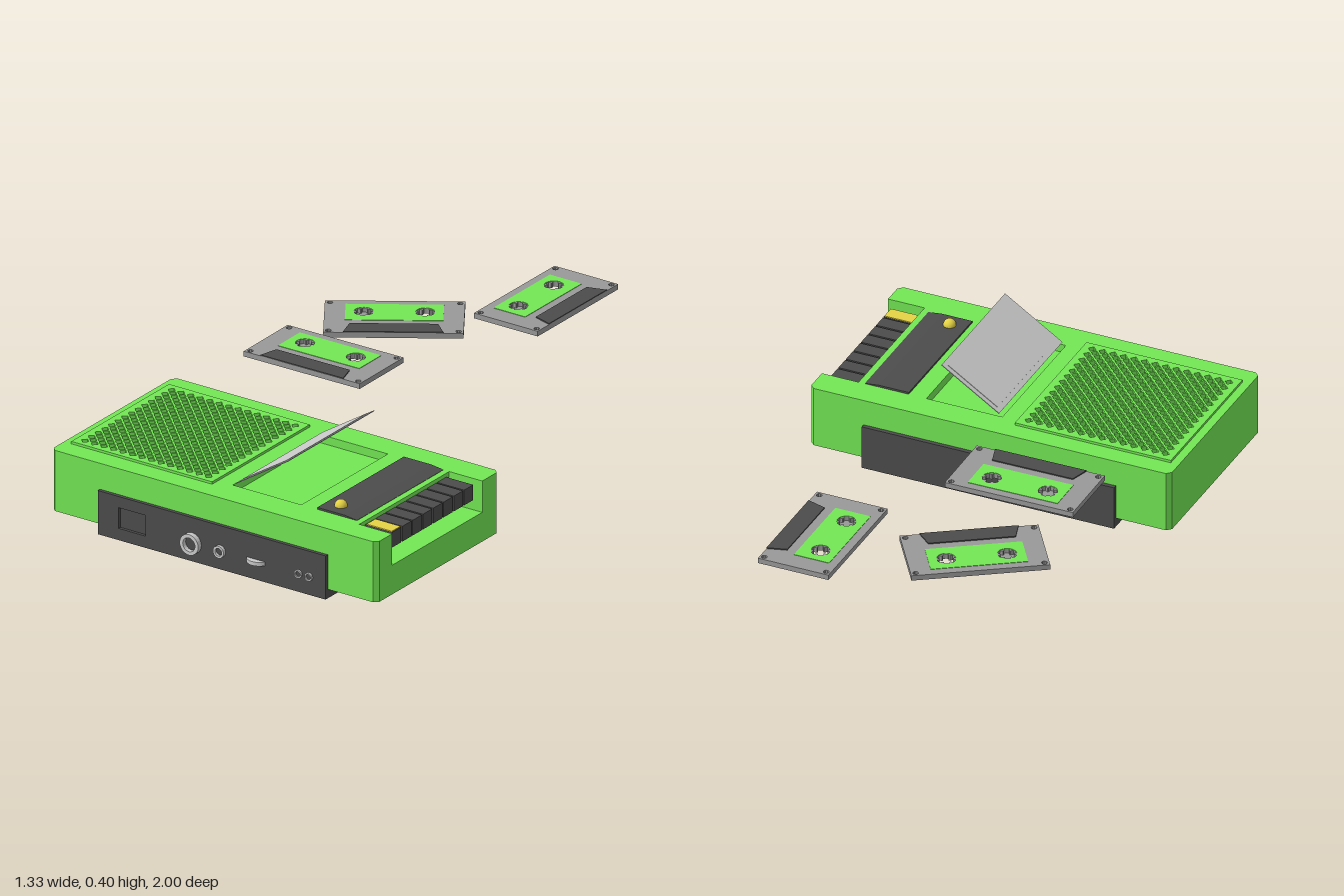
import * as THREE from 'three';

const mat = (color) => new THREE.MeshStandardMaterial({ color, flatShading: true });
const GREEN = mat(0x73e754), DARK = mat(0x4c4c4c), GREY = mat(0x999999), YELLOW = mat(0xe4d244);
const LIGHT = mat(0xc8c8c8);
LIGHT.side = THREE.DoubleSide;

function add(parent, name, geometry, material, x = 0, y = 0, z = 0) {
  const mesh = new THREE.Mesh(geometry, material);
  mesh.name = name;
  mesh.position.set(x, y, z);
  parent.add(mesh);
  return mesh;
}

// box given by its two corners
function block(parent, name, material, x0, x1, y0, y1, z0, z1) {
  return add(parent, name, new THREE.BoxGeometry(x1 - x0, y1 - y0, z1 - z0), material,
    (x0 + x1) / 2, (y0 + y1) / 2, (z0 + z1) / 2);
}

// outlines lie in the ground plane as [x, z] pairs
const points = (list) => list.map(([x, z]) => new THREE.Vector2(x, -z));
const rect = (x0, x1, z0, z1) => [[x0, z0], [x1, z0], [x1, z1], [x0, z1]];
function ring(cx, cz, radius, sides, toothed = false) {
  return Array.from({ length: sides }, (_, i) => {
    const a = (i / sides) * Math.PI * 2;
    const r = toothed && i % 6 < 2 ? radius * 0.7 : radius;
    return [cx + Math.cos(a) * r, cz + Math.sin(a) * r];
  });
}

// flat slab from height y0 to y1; holes wind against the outline
function slab(parent, name, material, outline, holes, y0, y1) {
  const shape = new THREE.Shape(points(outline));
  holes.forEach((h) => shape.holes.push(new THREE.Path(points(h).reverse())));
  const geometry = new THREE.ExtrudeGeometry(shape, { depth: y1 - y0, bevelEnabled: false });
  geometry.rotateX(-Math.PI / 2);
  return add(parent, name, geometry, material, 0, y0, 0);
}

function buildBody(parent) {
  const X = 0.665, Z0 = 0.25, Z1 = 0.965, c = 0.016;
  const corners = [[X - c, Z1], [-X + c, Z1], [-X, Z1 - c], [-X, Z0 + c], [-X + c, Z0], [X - c, Z0], [X, Z0 + c]];
  const full = [...corners, [X, Z1 - c]];
  const notched = [...corners, [X, 0.35], [0.53, 0.35], [0.53, 0.875], [X, 0.875], [X, Z1 - c]];
  const well = rect(0, 0.28, 0.35, 0.855);
  const speaker = rect(-0.62, -0.075, 0.335, 0.875);
  slab(parent, 'bodyBase', GREEN, full, [], 0.033, 0.14);
  slab(parent, 'bodyMiddle', GREEN, notched, [], 0.14, 0.225);
  slab(parent, 'bodyTop', GREEN, notched, [well, speaker], 0.225, 0.255);

  // perforated speaker cover with staggered diamond holes
  const holes = [];
  for (let row = 0; row < 27; row++) {
    for (let col = 0; col < 14 - (row % 2); col++) {
      const x = -0.6 + col * 0.0388 + (row % 2) * 0.0194;
      holes.push(ring(x, 0.354 + row * 0.0194, 0.0145, 4));
    }
  }
  slab(parent, 'speakerGrille', GREEN, rect(-0.635, -0.06, 0.32, 0.89), holes, 0.247, 0.264);
}

function buildFrame(parent) {
  block(parent, 'bottomPlate', DARK, -0.465, 0.465, 0, 0.034, 0.235, 0.978);
  block(parent, 'backPanel', DARK, -0.465, 0.465, 0.034, 0.16, 0.235, 0.255);
  // upright front panel with a shallow rectangular recess
  const front = slab(parent, 'frontPanel', DARK, rect(-0.465, 0.465, -0.16, -0.034),
    [rect(-0.38, -0.27, -0.119, -0.043)], 0, 0.013);
  front.rotation.x = Math.PI / 2;
  front.position.set(0, 0, 0.965);
  block(parent, 'recessFloor', DARK, -0.4, -0.25, 0.036, 0.13, 0.96, 0.967);
}

function buildFrontControls(parent) {
  // sockets: a collar with a dark centre
  const sockets = [[-0.08, 0.038, 0.025, 0.997], [0.035, 0.022, 0.014, 0.99],
    [0.355, 0.015, 0.01, 0.985], [0.398, 0.015, 0.01, 0.985]];
  for (const [x, outer, inner, front] of sockets) {
    const profile = [[inner, 0], [outer, 0], [outer, front - 0.975], [inner, front - 0.975], [inner, 0]];
    const collar = new THREE.LatheGeometry(profile.map(([r, y]) => new THREE.Vector2(r, y)), 24);
    add(parent, 'socketCollar', collar.rotateX(Math.PI / 2), LIGHT, x, 0.067, 0.975);
    add(parent, 'socketCentre', new THREE.CylinderGeometry(inner, inner, 0.004, 24).rotateX(Math.PI / 2),
      DARK, x, 0.067, 0.978);
  }
  add(parent, 'volumeWheel', new THREE.CylinderGeometry(0.044, 0.044, 0.014, 28), LIGHT, 0.18, 0.067, 0.956);
}

function buildTopControls(parent) {
  // control panel, sloping down towards the keys
  const section = new THREE.Shape([[0.345, 0.25], [0.507, 0.25], [0.507, 0.256], [0.457, 0.262], [0.345, 0.262]]
    .map(([x, y]) => new THREE.Vector2(x, y)));
  const panel = new THREE.ExtrudeGeometry(section, { depth: 0.505, bevelEnabled: false });
  add(parent, 'controlPanel', panel, DARK, 0, 0, 0.35);
  const buttonMaterial = mat(0xe4d244);
  buttonMaterial.flatShading = false;
  add(parent, 'recordButton', new THREE.SphereGeometry(0.022, 20, 12), buttonMaterial, 0.403, 0.264, 0.8);

  // row of keys in the end notch, the last one with a coloured cap
  for (let i = 0; i < 8; i++) {
    const z = 0.367 + i * 0.06;
    block(parent, 'key', DARK, 0.525, 0.64, 0.185, 0.241, z, z + 0.053);
    if (i === 7) block(parent, 'keyCap', YELLOW, 0.535, 0.638, 0.24, 0.244, z + 0.001, z + 0.052);
  }
}

function buildLid(parent) {
  const lid = new THREE.Group();
  lid.name = 'openLid';
  lid.position.set(0.013, 0.264, 0.603);
  lid.rotation.z = Math.atan2(0.136, 0.212);
  block(lid, 'lidPanel', LIGHT, 0, 0.252, -0.0015, 0.0015, -0.252, 0.252);
  block(lid, 'lidInset', LIGHT, 0.018, 0.234, 0, 0.0035, -0.234, 0.234);
  parent.add(lid);
}

function buildCassette(x, y, z, turn) {
  const tape = new THREE.Group();
  tape.name = 'cassette';
  const screws = [];
  for (const sx of [-1, 1]) for (const sz of [-1, 1]) screws.push(ring(sx * 0.218, sz * 0.114, 0.01, 10));
  const spools = [-0.103, 0.103].map((sx) => ring(sx, -0.04, 0.032, 36, true));
  const windows = [-0.103, 0.103].map((sx) => ring(sx, -0.04, 0.033, 24));
  const outline = rect(-0.235, 0.235, -0.13, 0.13);
  slab(tape, 'shell', GREY, outline, [...screws, ...spools], 0.003, 0.019);
  // only one spool opening passes through the underside
  slab(tape, 'underside', GREY, outline, [...screws, spools[1]], 0, 0.003);
  slab(tape, 'label', GREEN, rect(-0.165, 0.165, -0.1, 0.03), windows, 0.019, 0.0205);
  slab(tape, 'headCover', DARK, [[-0.148, 0.062], [0.148, 0.062], [0.168, 0.13], [-0.168, 0.13]], [], 0.018, 0.023);
  tape.position.set(x, y, z);
  tape.rotation.y = turn;
  return tape;
}

export function createModel() {
  const model = new THREE.Group();
  model.name = 'tapeRecorderWithCassettes';
  const recorder = new THREE.Group();
  recorder.name = 'tapeRecorder';
  buildBody(recorder);
  buildFrame(recorder);
  buildFrontControls(recorder);
  buildTopControls(recorder);
  buildLid(recorder);
  model.add(recorder);
  model.add(
    buildCassette(-0.28, 0.3, -0.075, 0.01),
    buildCassette(-0.3, 0.27, -0.515, 0.587),
    buildCassette(0.145, 0.36, -0.765, Math.PI / 2),
  );
  return model;
}
